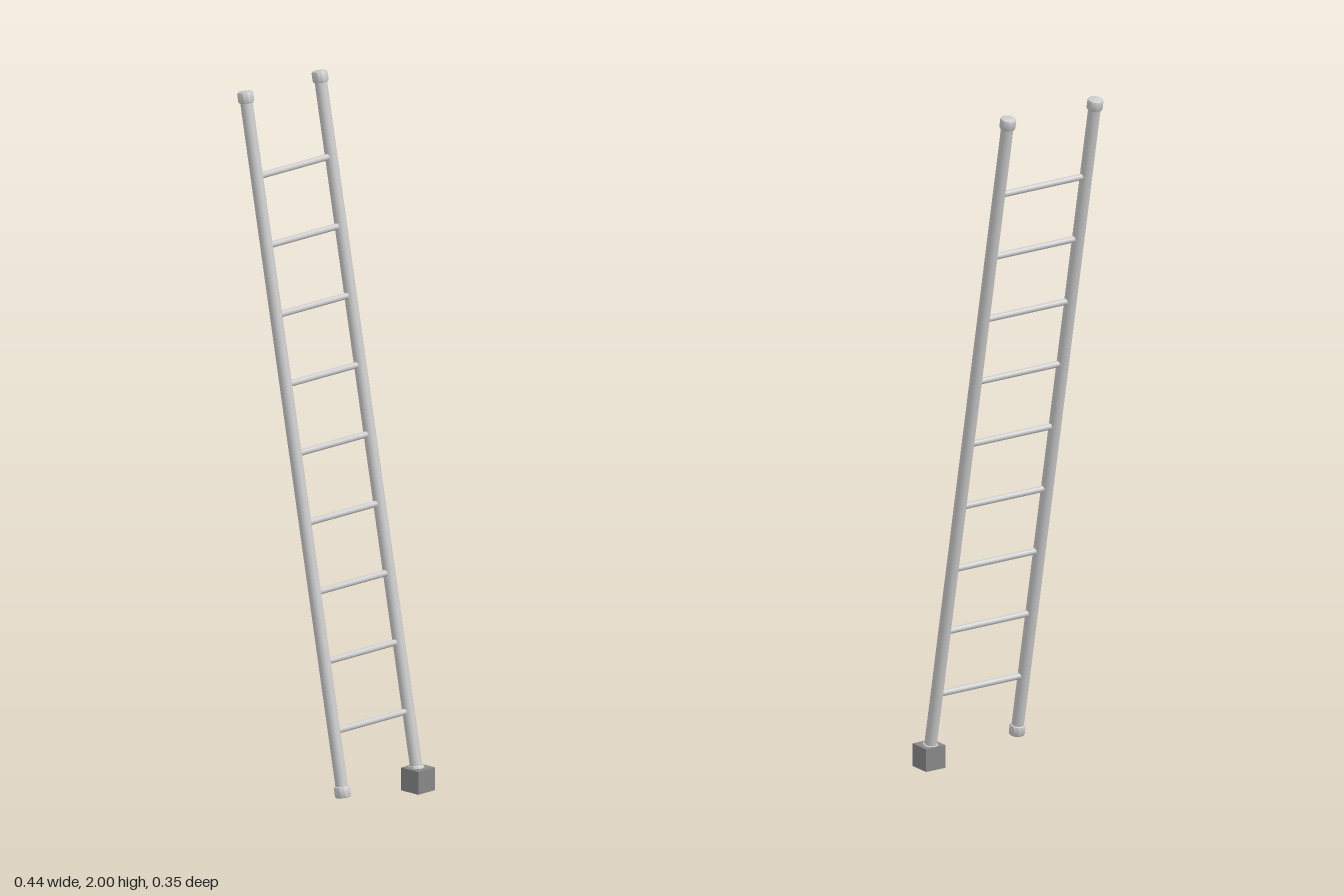
import * as THREE from 'three';
import { toCreasedNormals } from 'three/addons/utils/BufferGeometryUtils.js';

const RAIL_Z = [0.152, -0.144];
const TOP_Y = 1.983, BOTTOM_Y = 0.055;

// Point on the leaning axis of the ladder at height y
const leanX = (y) => -0.003 - 0.194 * (y - 1);

export function createModel() {
  const group = new THREE.Group();
  const grey = new THREE.MeshStandardMaterial({ color: 0xcccccc });
  const dark = new THREE.MeshStandardMaterial({ color: 0x888888 });

  const add = (name, geometry, material, x, y, z) => {
    const mesh = new THREE.Mesh(geometry, material);
    mesh.name = name;
    mesh.position.set(x, y, z);
    group.add(mesh);
    return mesh;
  };

  const tilt = Math.atan(0.194);
  const railLength = (TOP_Y - BOTTOM_Y) / Math.cos(tilt);
  const railGeometry = new THREE.CylinderGeometry(0.0175, 0.0175, railLength, 32);

  // Cap: short cylinder with softened rims
  const profile = [[0, -0.016], [0.018, -0.016], [0.021, -0.0145], [0.0225, -0.011],
    [0.0225, 0.011], [0.021, 0.0145], [0.018, 0.016], [0, 0.016]]
    .map(([r, y]) => new THREE.Vector2(r, y));
  const capGeometry = toCreasedNormals(new THREE.LatheGeometry(profile, 32), 0.6);

  // Side rails with a cap at each end
  for (const z of RAIL_Z) {
    const midY = (TOP_Y + BOTTOM_Y) / 2;
    add('rail', railGeometry, grey, leanX(midY), midY, z).rotation.z = tilt;
    add('topCap', capGeometry, grey, leanX(TOP_Y), TOP_Y, z).rotation.z = tilt;
    add('bottomCap', capGeometry, grey, leanX(BOTTOM_Y), BOTTOM_Y, z).rotation.z = tilt;
  }

  // Nine evenly spaced rungs between the rails
  const rungGeometry = new THREE.CylinderGeometry(0.009, 0.009, RAIL_Z[0] - RAIL_Z[1], 20);
  rungGeometry.rotateX(Math.PI / 2);
  for (let i = 0; i < 9; i++) {
    const y = 0.222 + i * 0.1925;
    add('rung', rungGeometry, grey, leanX(y), y, (RAIL_Z[0] + RAIL_Z[1]) / 2);
  }

  // Block under the back rail
  add('footBlock', new THREE.BoxGeometry(0.066, 0.066, 0.066), dark, 0.185, 0.033, RAIL_Z[1]);

  return group;
}
